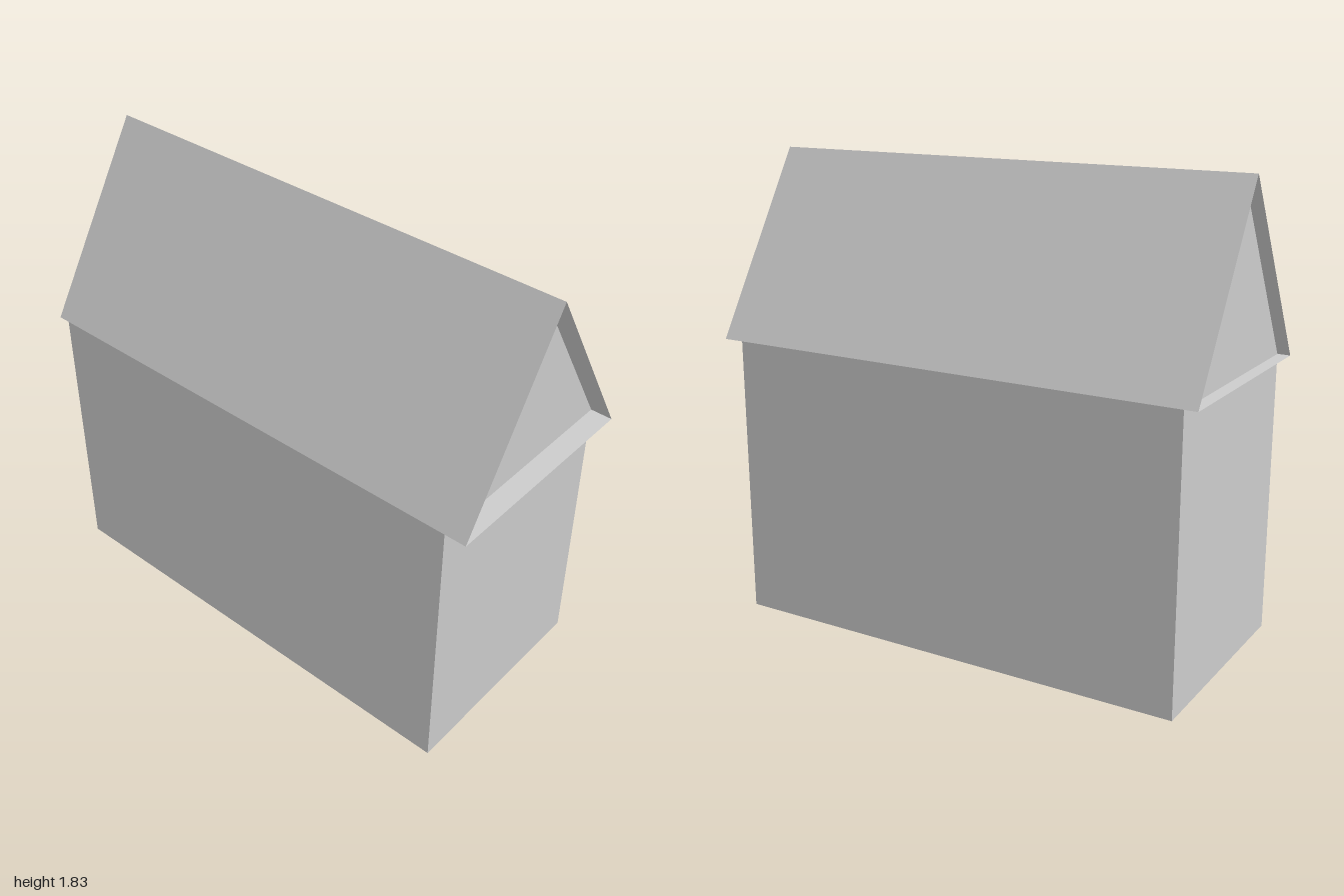
import * as THREE from 'three';

const HALF_Z = 0.44, EAVE = 1.115, RIDGE = 1.83;
const WALL_LEFT = 0.915, WALL_RIGHT = -0.95, ROOF_X = 1;

export function createModel() {
  const model = new THREE.Group();
  model.name = 'house';
  const grey = new THREE.MeshStandardMaterial({ color: 0xcccccc, side: THREE.DoubleSide });
  grey.name = 'plainGrey';

  const add = (name, geometry) => {
    const mesh = new THREE.Mesh(geometry, grey);
    mesh.name = name;
    model.add(mesh);
    return mesh;
  };

  // Flat sheet swept along x between two [z, y] points
  const sheet = (name, [z0, y0], [z1, y1], xa, xb) => {
    const geometry = new THREE.BufferGeometry();
    geometry.setAttribute('position', new THREE.Float32BufferAttribute(
      [xa, y0, z0, xb, y0, z0, xb, y1, z1, xa, y1, z1], 3));
    geometry.setIndex([0, 1, 2, 0, 2, 3]);
    geometry.computeVertexNormals();
    return add(name, geometry);
  };

  // Flat end panel with a [z, y] outline, facing along x
  const endPanel = (name, outline, x) => {
    const shape = new THREE.Shape(outline.map(([z, y]) => new THREE.Vector2(z, y)));
    const mesh = add(name, new THREE.ShapeGeometry(shape));
    mesh.rotation.y = Math.sign(x) * Math.PI / 2;
    mesh.position.x = x;
  };

  // Long walls, open at the bottom
  sheet('frontWall', [HALF_Z, 0], [HALF_Z, EAVE], WALL_RIGHT, WALL_LEFT);
  sheet('backWall', [-HALF_Z, EAVE], [-HALF_Z, 0], WALL_RIGHT, WALL_LEFT);

  // Short walls and the gables set back under the roof
  for (const [side, x] of [['left', WALL_LEFT], ['right', WALL_RIGHT]]) {
    endPanel(side + 'Wall', [[-HALF_Z, 0], [HALF_Z, 0], [HALF_Z, EAVE], [-HALF_Z, EAVE]], x);
    endPanel(side + 'Gable', [[-HALF_Z, EAVE], [HALF_Z, EAVE], [0, RIDGE]], x);
  }

  // Overhanging roof: two slopes and the ceiling sheet under them
  sheet('frontRoofSlope', [HALF_Z, EAVE], [0, RIDGE], -ROOF_X, ROOF_X);
  sheet('backRoofSlope', [0, RIDGE], [-HALF_Z, EAVE], -ROOF_X, ROOF_X);
  sheet('ceiling', [-HALF_Z, EAVE], [HALF_Z, EAVE], -ROOF_X, ROOF_X);

  return model;
}
